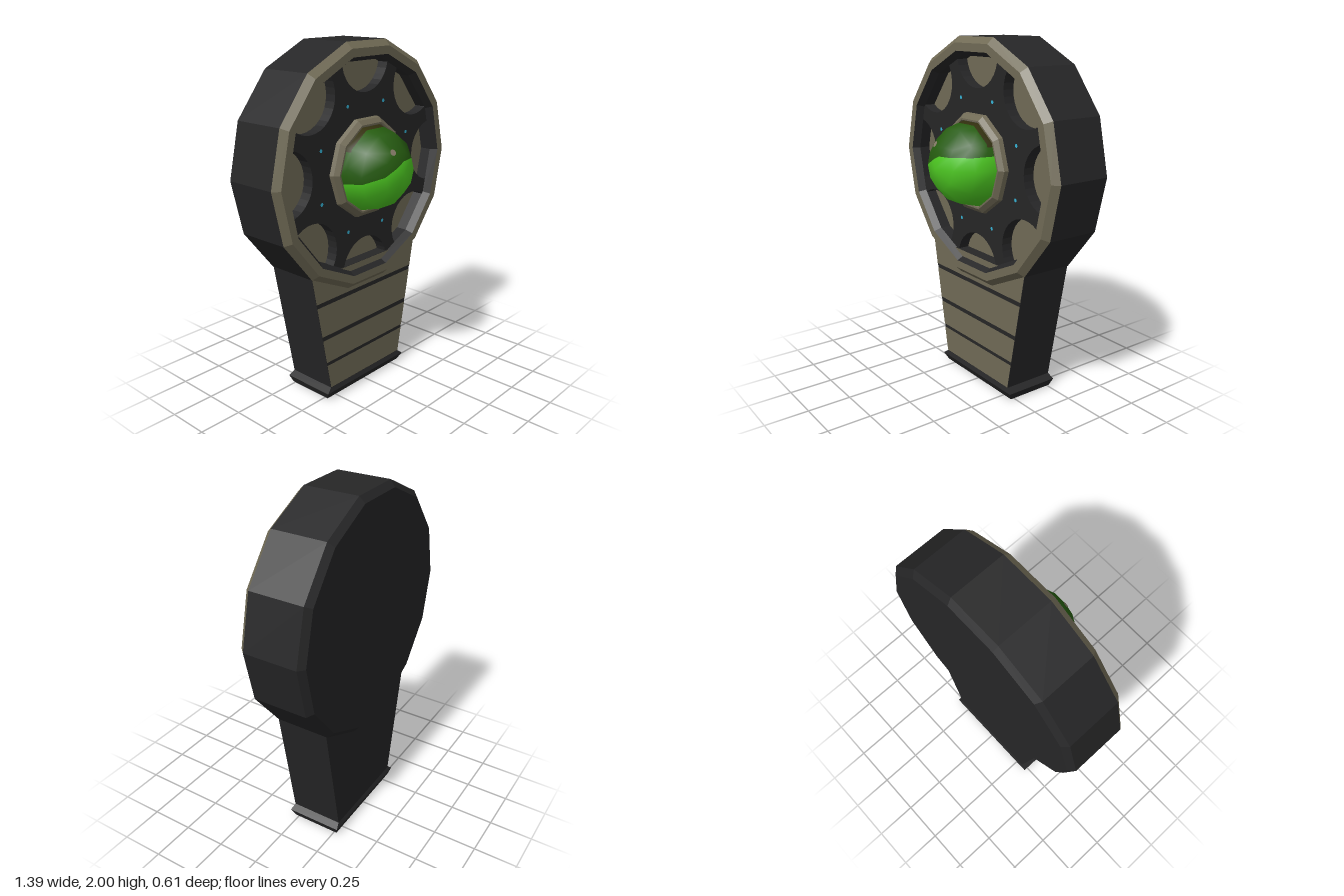
import * as THREE from 'three';

const CY = 1.32; // height of the head's centre

function material(name, color) {
  const m = new THREE.MeshStandardMaterial({ color });
  m.name = name;
  return m;
}

function flat(geometry) {
  const g = geometry.index ? geometry.toNonIndexed() : geometry;
  g.computeVertexNormals();
  return g;
}

// Faceted ring turned about the z axis; profile points are [radius, z]
function turned(profile, sides) {
  const pts = profile.map(([r, z]) => new THREE.Vector2(r, z));
  return flat(new THREE.LatheGeometry(pts, sides, Math.PI / 2).rotateX(Math.PI / 2));
}

// Rectangular rings [y, halfWidth, zFront, zBack] joined from top to bottom
function loft(rings) {
  const pos = [];
  const corners = ([y, w, f, b]) => [[w, y, f], [w, y, b], [-w, y, b], [-w, y, f]];
  for (let i = 0; i + 1 < rings.length; i++) {
    const A = corners(rings[i]), B = corners(rings[i + 1]);
    for (let c = 0; c < 4; c++) {
      const d = (c + 1) % 4;
      pos.push(...A[c], ...B[c], ...A[d], ...A[d], ...B[c], ...B[d]);
    }
  }
  const g = new THREE.BufferGeometry();
  g.setAttribute('position', new THREE.Float32BufferAttribute(pos, 3));
  return flat(g);
}

// Keep the part of each triangle where f (linear) is positive
function clip(tris, f) {
  const out = [];
  for (const tri of tris) {
    const poly = [];
    tri.forEach((p, i) => {
      const q = tri[(i + 1) % 3], a = f(p), b = f(q);
      if (a >= 0) poly.push(p);
      if (a * b < 0) poly.push(p.clone().lerp(q, a / (a - b)));
    });
    for (let i = 1; i + 1 < poly.length; i++) out.push([poly[0], poly[i], poly[i + 1]]);
  }
  return out;
}

// Smooth-shaded patch of a sphere centred on the origin
function spherePatch(tris) {
  const pts = tris.flat();
  const g = new THREE.BufferGeometry().setFromPoints(pts);
  const normals = pts.flatMap((p) => p.clone().normalize().toArray());
  g.setAttribute('normal', new THREE.Float32BufferAttribute(normals, 3));
  return g;
}

export function createModel() {
  const model = new THREE.Group();
  model.name = 'device';
  const charcoal = material('charcoal', 0x262627);
  const olive = material('olive', 0x716b56);
  const brightGreen = material('brightGreen', 0x4ecb22);
  const darkGreen = material('darkGreen', 0x265c10);
  const brown = material('brown', 0x33300f);
  const taupe = material('taupe', 0x857a68);
  const blue = material('blue', 0x35b4d6);

  const add = (name, geometry, mat, parent = model) => {
    const mesh = new THREE.Mesh(geometry, mat);
    mesh.name = name;
    parent.add(mesh);
    return mesh;
  };

  // Head: casing, bevelled bezel, inner wall and pocket floor
  const head = new THREE.Group();
  head.name = 'head';
  head.position.y = CY;
  model.add(head);
  add('casing', turned([[0, -0.305], [0.66, -0.305], [0.695, -0.275], [0.695, 0.035]], 14), charcoal, head);
  add('bezel', turned([[0.695, 0.035], [0.66, 0.07], [0.615, 0.07]], 14), olive, head);
  add('innerWall', turned([[0.615, 0.07], [0.59, 0.03], [0.59, -0.04]], 14), charcoal, head);
  add('pocketFloor', new THREE.CircleGeometry(0.6, 14), olive, head).position.z = -0.035;

  // Face plate with eight round scallops cut from its rim
  const outline = [];
  for (let k = 0; k < 8; k++) {
    const a = (k * Math.PI) / 4;
    for (let i = 0; i <= 16; i++) {
      const t = a - Math.PI / 2 - (i / 16) * Math.PI;
      outline.push(new THREE.Vector2(
        0.59 * Math.cos(a) + 0.183 * Math.cos(t),
        0.59 * Math.sin(a) + 0.183 * Math.sin(t)));
    }
  }
  const plate = new THREE.ExtrudeGeometry(new THREE.Shape(outline), { depth: 0.07, bevelEnabled: false });
  add('facePlate', plate, charcoal, head).position.z = -0.04;

  // Small lights between the scallops
  for (let k = 0; k < 8; k++) {
    const a = ((k + 0.5) * Math.PI) / 4;
    add('light', new THREE.CircleGeometry(0.011, 6), blue, head)
      .position.set(0.375 * Math.cos(a), 0.375 * Math.sin(a), 0.033);
  }

  // Hub ring round the dome
  add('hubRing', turned([[0.285, 0.03], [0.28, 0.055], [0.255, 0.077], [0.245, 0.077], [0.235, 0.055]], 10), olive, head);

  // Dome, split into a bright lower part, dark upper part and brown base edge
  const dome = new THREE.Group();
  dome.name = 'dome';
  dome.position.z = 0.065;
  head.add(dome);
  const ball = new THREE.SphereGeometry(0.24, 10, 3, 0, Math.PI * 2, 0, Math.PI / 2)
    .rotateX(Math.PI / 2).toNonIndexed().getAttribute('position');
  const tris = [];
  for (let i = 0; i < ball.count; i += 3) {
    tris.push([0, 1, 2].map((j) => new THREE.Vector3().fromBufferAttribute(ball, i + j)));
  }
  const slope = (p) => 0.06 + 0.5 * p.x - p.y;
  const level = (p) => 0.066 + 0.03 * p.x - p.y;
  const edge = (p) => 0.035 - p.z;
  const high = (p) => p.y - 0.12;
  const not = (f) => (p) => -f(p);
  const belowSlope = clip(tris, slope);
  const upper = [...clip(tris, not(slope)), ...clip(belowSlope, not(level))];
  const upperEdge = clip(upper, edge);
  add('domeLower', spherePatch(clip(belowSlope, level)), brightGreen, dome);
  add('domeUpper', spherePatch([...clip(upper, not(edge)), ...clip(upperEdge, not(high))]), darkGreen, dome);
  add('domeEdge', spherePatch(clip(upperEdge, high)), brown, dome);

  // Small spot on the dome
  const spot = add('domeSpot', new THREE.CircleGeometry(0.018, 8), taupe, dome);
  const dir = new THREE.Vector3(-0.05, 0.12, 0.2).normalize();
  spot.position.copy(dir).multiplyScalar(0.241);
  spot.quaternion.setFromUnitVectors(new THREE.Vector3(0, 0, 1), dir);

  // Tapered neck, with olive bands leaving dark stripes between them
  const halfWidth = (y) => 0.3 + ((y - 0.07) * 0.133) / 0.707;
  const taper = (y0, y1) => new THREE.Shape([
    new THREE.Vector2(-halfWidth(y0), y0), new THREE.Vector2(halfWidth(y0), y0),
    new THREE.Vector2(halfWidth(y1), y1), new THREE.Vector2(-halfWidth(y1), y1)]);
  add('neck', new THREE.ExtrudeGeometry(taper(0.06, 0.777), { depth: 0.305, bevelEnabled: false }), charcoal)
    .position.z = -0.27;
  for (const [y0, y1] of [[0.073, 0.222], [0.242, 0.387], [0.412, 0.597], [0.622, 0.777]]) {
    add('neckBand', new THREE.ShapeGeometry(taper(y0, y1)), olive).position.z = 0.037;
  }

  // Flared foot with a hollow underside
  add('foot', loft([
    [0.07, 0.3, 0.035, -0.27], [0.045, 0.335, 0.045, -0.28], [0, 0.315, 0.02, -0.265],
    [0, 0.29, 0, -0.245], [0.05, 0.285, -0.005, -0.24], [0.05, 0, -0.12, -0.12],
  ]), charcoal);

  return model;
}
